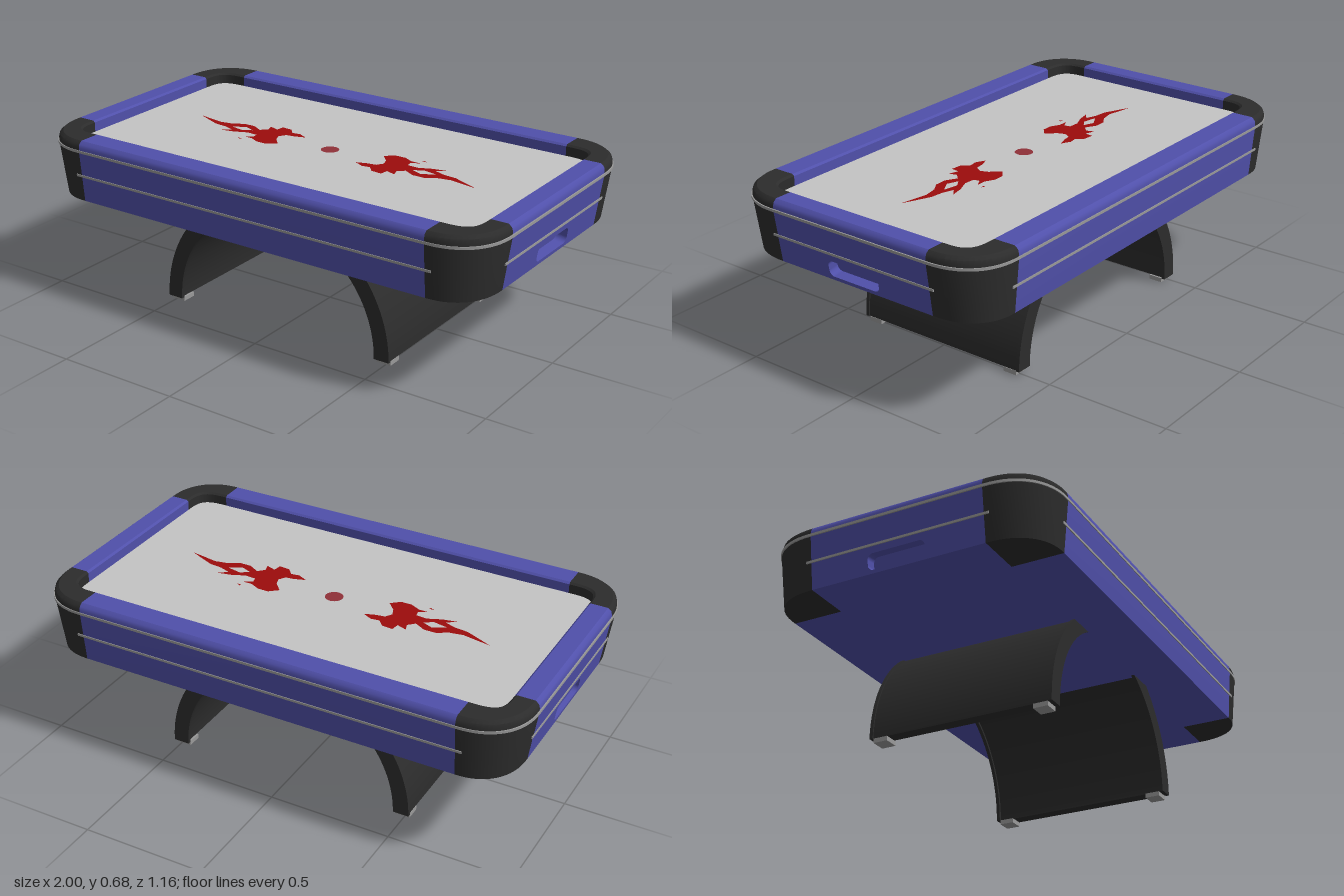
import * as THREE from 'three';
import { toCreasedNormals } from 'three/addons/utils/BufferGeometryUtils.js';

const mat = (name, color) => new THREE.MeshStandardMaterial({ name, color });

// Centres of the four rounded corners, in order of angle from +x towards +z
const CX = 0.78, CZ = 0.355;
const corners = [[CX, CZ], [-CX, CZ], [-CX, -CZ], [CX, -CZ]];

// Cabinet section: [reach in x, reach in z, height, squareness of the corner]
const outerWall = [[0, 0, 0.425, 2.3], [0.185, 0.205, 0.425, 2.3], [0.215, 0.222, 0.63, 2.3]];
const topRail = [[0.215, 0.222, 0.63, 2.3], [0.215, 0.222, 0.65, 2.3], [0.211, 0.218, 0.664, 2.3],
  [0.198, 0.205, 0.675, 2.3], [0.128, 0.118, 0.675, 3.5], [0.12, 0.11, 0.668, 3.5], [0.12, 0.11, 0.62, 3.5]];
const fullSection = [...outerWall, ...topRail.slice(1)];
const trimSection = [[0.21, 0.217, 0.63, 2.3], [0.22, 0.225, 0.63, 2.3],
  [0.22, 0.225, 0.64, 2.3], [0.21, 0.217, 0.64, 2.3]];

// Sweeps a section through stations of [centre, angle]
function loft(section, stations) {
  const pos = [], index = [], n = section.length;
  const pw = (v, e) => (Math.abs(v) < 1e-6 ? 0 : Math.sign(v) * Math.abs(v) ** (2 / e));
  for (const [[cx, cz], a] of stations)
    for (const [rx, rz, y, e] of section)
      pos.push(cx + rx * pw(Math.cos(a), e), y, cz + rz * pw(Math.sin(a), e));
  for (let i = 0; i < stations.length - 1; i++)
    for (let j = 0; j < n - 1; j++) {
      const a = i * n + j, b = a + n;
      index.push(a, a + 1, b, b, a + 1, b + 1);
    }
  const g = new THREE.BufferGeometry();
  g.setAttribute('position', new THREE.Float32BufferAttribute(pos, 3));
  g.setIndex(index);
  return toCreasedNormals(g, 0.6);
}

const cornerStations = k => Array.from({ length: 17 }, (_, i) => [corners[k], (k + i / 16) * Math.PI / 2]);
const railStations = k => [[corners[(k + 3) % 4], k * Math.PI / 2], [corners[k], k * Math.PI / 2]];

function roundedRect(path, x, y, w, h, r) {
  path.moveTo(x + r, y);
  path.lineTo(x + w - r, y);
  path.absarc(x + w - r, y + r, r, -Math.PI / 2, 0);
  path.absarc(x + w - r, y + h - r, r, 0, Math.PI / 2);
  path.absarc(x + r, y + h - r, r, Math.PI / 2, Math.PI);
  path.absarc(x + r, y + r, r, Math.PI, Math.PI * 1.5);
  return path;
}

// Curved leg section between two radii, extruded along z
function arcSlab(r0, r1, z0, z1) {
  const s = new THREE.Shape(), end = 1.15;
  s.absarc(0, 0, r1, 0, end, false);
  s.absarc(0, 0, r0, end, 0, true);
  const g = new THREE.ExtrudeGeometry(s, { depth: z1 - z0, bevelEnabled: false, curveSegments: 28 });
  return toCreasedNormals(g.translate(0, 0.018, z0), 0.5);
}

export function createModel() {
  const root = new THREE.Group();
  root.name = 'airHockeyTable';
  const blue = mat('blue cabinet', 0x5050aa), black = mat('black plastic', 0x2c2c2c);
  const grey = mat('grey trim', 0x999999), white = mat('playing surface', 0xc4c4c4);
  const red = mat('flame red', 0x9c0c0c), spot = mat('centre spot red', 0x8f3038);
  const add = (name, geo, m, parent = root) => {
    const mesh = new THREE.Mesh(geo, m);
    mesh.name = name;
    parent.add(mesh);
    return mesh;
  };
  const box = (name, w, h, d, x, y, z, m, parent) =>
    add(name, new THREE.BoxGeometry(w, h, d), m, parent).position.set(x, y, z);

  // Cabinet: black corners, blue rails and a thin trim lip all round
  for (let k = 0; k < 4; k++) {
    add('corner', loft(fullSection, cornerStations(k)), black);
    if (k % 2) add('longRail', loft(fullSection, railStations(k)), blue);
    else {
      add('endRailTop', loft(topRail, railStations(k)), blue);
      add('endRailUnderside', loft(outerWall.slice(0, 2), railStations(k)), blue);
    }
    add('trimCorner', loft(trimSection, cornerStations(k)), grey);
    add('trimStraight', loft(trimSection, railStations(k)), grey);
  }
  box('cabinetFloor', 2 * CX, 0.006, 2 * CZ, 0, 0.428, 0, blue);

  // End panels with a recessed pocket
  const tilt = Math.atan2(0.03, 0.205);
  const panelShape = new THREE.Shape();
  roundedRect(panelShape, -CZ, 0, 2 * CZ, Math.hypot(0.03, 0.205), 0.0001);
  panelShape.holes.push(roundedRect(new THREE.Path(), -0.117, 0.014, 0.234, 0.063, 0.022));
  const panelGeo = new THREE.ExtrudeGeometry(panelShape, { depth: 0.05, bevelEnabled: false, curveSegments: 8 });
  panelGeo.translate(0, 0, -0.05);
  for (const s of [1, -1]) {
    const end = new THREE.Group();
    end.name = 'endPanel';
    end.rotation.set(0, s * Math.PI / 2, 0);
    end.position.set(s * 0.965, 0.425, 0);
    root.add(end);
    add('pocketPanel', panelGeo, blue, end).rotation.x = tilt;
    const back = add('pocketBack', new THREE.BoxGeometry(0.25, 0.08, 0.006).translate(0, 0.05, -0.045), blue, end);
    back.rotation.x = tilt;

    // Side stripes
    box('longStripe', 1.61, 0.009, 0.006, 0, 0.532, s * 0.569, grey);
    box('endStripe', 0.006, 0.009, 0.75, s * 0.981, 0.532, 0, grey);
  }

  // Playing surface and its markings
  box('playingSurface', 1.81, 0.008, 0.94, 0, 0.626, 0, white);
  const disc = add('centreSpot', new THREE.CircleGeometry(0.036, 24), spot);
  disc.rotation.x = -Math.PI / 2;
  disc.position.y = 0.633;

  const outline = [[-.67, -.04], [-.61, -.03], [-.555, -.02], [-.5, -.03], [-.46, -.055], [-.41, -.055],
    [-.365, -.03], [-.34, -.055], [-.35, -.087], [-.31, -.073], [-.305, -.108], [-.26, -.104], [-.235, -.075],
    [-.2, -.08], [-.16, -.06], [-.205, -.045], [-.24, -.04], [-.257, -.012], [-.245, .02], [-.21, .058],
    [-.245, .088], [-.29, .088], [-.33, .068], [-.37, .068], [-.335, .05], [-.34, .025], [-.385, .022],
    [-.44, .045], [-.495, .056], [-.46, .03], [-.505, .014], [-.56, .008], [-.62, -.018]];
  const flame = new THREE.Shape(outline.map(([x, z]) => new THREE.Vector2(x, -z)));
  flame.holes.push(new THREE.Path([[-.48, 0], [-.43, -.028], [-.385, -.01], [-.42, .012]]
    .map(([x, z]) => new THREE.Vector2(x, -z))));
  const speck = new THREE.Shape([[-.385, -.092], [-.362, -.092], [-.365, -.1]].map(p => new THREE.Vector2(...p)));
  const flameGeo = new THREE.ShapeGeometry([flame, speck]).rotateX(-Math.PI / 2);
  for (const turn of [0, Math.PI]) {
    const f = add('flame', flameGeo, red);
    f.rotation.y = turn;
    f.position.y = 0.633;
  }

  // Curved legs: panel between two edge ribs, on small feet
  const panel = arcSlab(0.468, 0.518, -0.366, 0.366);
  const ribs = [arcSlab(0.458, 0.523, 0.364, 0.378), arcSlab(0.458, 0.523, -0.378, -0.364)];
  for (const turn of [0, Math.PI]) {
    const leg = new THREE.Group();
    leg.name = 'leg';
    leg.rotation.y = turn;
    root.add(leg);
    add('legPanel', panel, black, leg);
    ribs.forEach(r => add('legRib', r, black, leg));
    for (const s of [1, -1]) box('foot', 0.06, 0.018, 0.058, 0.49, 0.009, s * 0.332, grey, leg);
  }
  return root;
}
